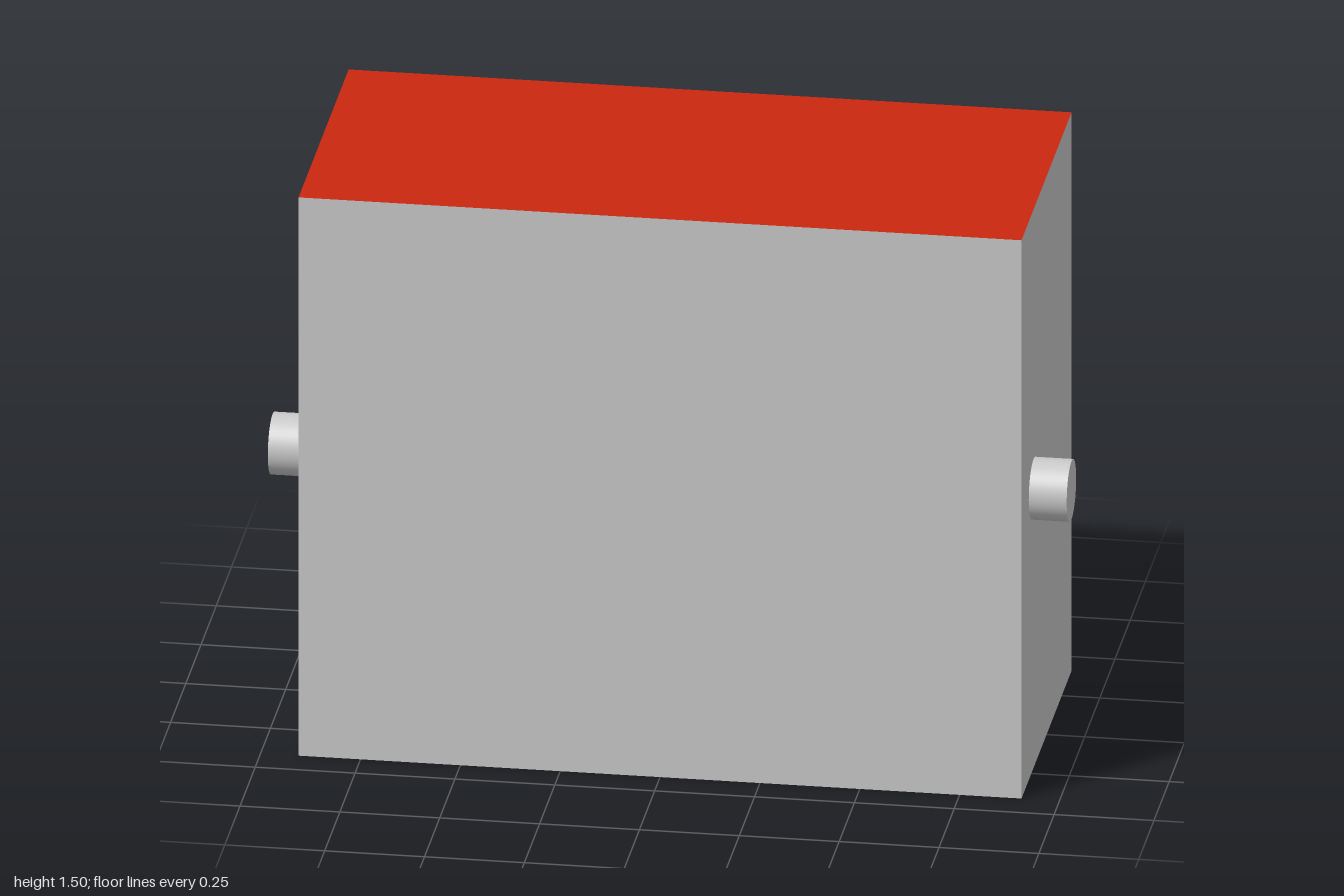
import * as THREE from 'three';

const WIDTH = 1.81, HEIGHT = 1.5, DEPTH = 0.823;
const PIN_RADIUS = 0.078, PIN_Y = 0.752, PIN_Z = 0.215;

export function createModel() {
  const model = new THREE.Group();
  const grey = new THREE.MeshStandardMaterial({ color: 0xcccccc });
  const red = new THREE.MeshStandardMaterial({ color: 0xcc2810 });
  const blue = new THREE.MeshStandardMaterial({ color: 0x0d2472 });

  // Block with a red top face and a blue bottom face (+x, -x, +y, -y, +z, -z)
  const block = new THREE.Mesh(
    new THREE.BoxGeometry(WIDTH, HEIGHT, DEPTH),
    [grey, grey, red, blue, grey, grey]
  );
  block.name = 'block';
  block.position.y = HEIGHT / 2;
  model.add(block);

  // Round pivot pin on each side, flush with the block and ending at x = +-1
  const length = 1 - WIDTH / 2;
  const pinGeometry = new THREE.CylinderGeometry(PIN_RADIUS, PIN_RADIUS, length, 48);
  pinGeometry.rotateZ(Math.PI / 2);
  for (const [name, side] of [['leftPin', 1], ['rightPin', -1]]) {
    const pin = new THREE.Mesh(pinGeometry, grey);
    pin.name = name;
    pin.position.set(side * (1 - length / 2), PIN_Y, PIN_Z);
    model.add(pin);
  }

  return model;
}
